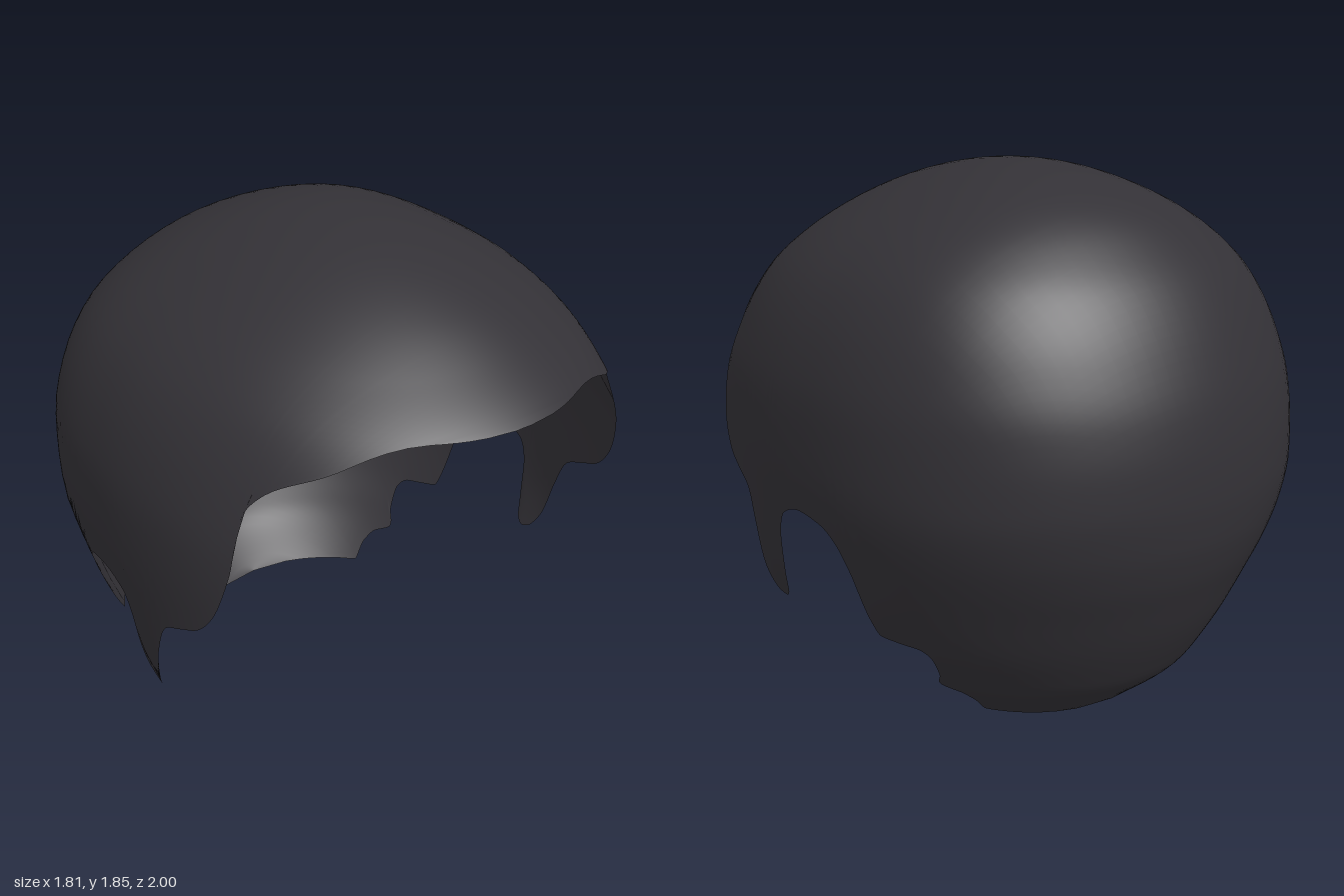
import * as THREE from 'three';

const TOP = 1.85;

// Shell sections: [depth below crown as sqrt(TOP - y), half width, front reach, back reach]
const SECTIONS = [
  [0, 0, 0, 0],
  [0.245, 0.31, 0.41, 0.37],
  [0.406, 0.53, 0.67, 0.595],
  [0.51, 0.67, 0.83, 0.71],
  [0.616, 0.78, 1.0, 0.815],
  [0.755, 0.867, 1.18, 0.915],
  [0.866, 0.903, 1.36, 0.973],
  [0.949, 0.907, 1.5, 0.994],
  [1.0, 0.905, 1.58, 0.997],
  [1.063, 0.89, 1.72, 0.985],
  [1.118, 0.872, 1.75, 0.955],
  [1.177, 0.843, 1.75, 0.90],
  [1.225, 0.80, 1.75, 0.848],
  [1.281, 0.70, 1.75, 0.77],
  [1.304, 0.648, 1.75, 0.73],
  [1.36, 0.50, 1.75, 0.555],
];

// Lower hem in side profile: [position along the centre line, z, y]
const HEM = [
  // fringe and temple
  [-0.616, 1, 1.47], [-0.60, 0.93, 1.473], [-0.52, 0.80, 1.395],
  [-0.45, 0.69, 1.325], [-0.41, 0.655, 1.25], [-0.36, 0.67, 1.10],
  [-0.33, 0.64, 0.95], [-0.29, 0.56, 0.83], [-0.25, 0.47, 0.78],
  // sideburn
  [-0.22, 0.385, 0.73], [-0.19, 0.33, 0.60], [-0.17, 0.29, 0.44],
  [-0.15, 0.25, 0.375], [-0.13, 0.22, 0.365], [-0.11, 0.19, 0.39],
  [-0.085, 0.165, 0.50], [-0.06, 0.15, 0.63],
  // arch over the ear
  [-0.03, 0.11, 0.71], [0.02, 0, 0.745], [0.08, -0.12, 0.725],
  [0.13, -0.19, 0.66], [0.19, -0.22, 0.55], [0.30, -0.228, 0.40],
  // stepped nape
  [0.38, -0.235, 0.35], [0.50, -0.30, 0.335], [0.65, -0.365, 0.325],
  [0.80, -0.385, 0.29], [0.95, -0.36, 0.21], [1.06, -0.32, 0.15],
  [1.13, -0.37, 0.115], [1.20, -0.375, 0.08], [1.25, -0.352, 0.02],
  [1.31, -0.42, 0.01], [1.36, -0.555, 0],
];

// Smooth interpolation of a table column without overshoot
function sample(table, col, at) {
  const last = table.length - 1;
  const t = THREE.MathUtils.clamp(at, table[0][0], table[last][0]);
  let i = 0;
  while (i < last - 1 && t > table[i + 1][0]) i++;
  const secant = (k) => (table[k + 1][col] - table[k][col]) / (table[k + 1][0] - table[k][0]);
  const slope = (k) => {
    if (k === 0) return secant(0);
    if (k === last) return secant(last - 1);
    const a = secant(k - 1), b = secant(k);
    return a * b <= 0 ? 0 : (2 * a * b) / (a + b);
  };
  const h = table[i + 1][0] - table[i][0];
  const u = (t - table[i][0]) / h, v = 1 - u;
  return table[i][col] * v * v * (1 + 2 * u) + table[i + 1][col] * u * u * (3 - 2 * u)
    + h * u * v * (v * slope(i) - u * slope(i + 1));
}

// Half width of the shell at a point of the side profile
function halfWidth(z, y) {
  const q = Math.sqrt(Math.max(0, TOP - y));
  const reach = sample(SECTIONS, z > 0 ? 2 : 3, q);
  if (reach < 1e-6) return 0;
  // the back is fuller than the front, and the lower part narrows towards the nape
  const fullness = z > 0 ? 2 : 2.6;
  const taper = 1 + 0.2 * z * (1 - THREE.MathUtils.smoothstep(y, 0.3, 0.85));
  const round = Math.sqrt(Math.max(0, 1 - Math.abs(z / reach) ** fullness));
  return sample(SECTIONS, 1, q) * taper * round;
}

function hairGeometry(perSpan = 6, half = 26) {
  const positions = [], index = [];
  const rows = (HEM.length - 1) * perSpan, cols = half * 2 + 1;
  for (let r = 0; r <= rows; r++) {
    const i = Math.min(Math.floor(r / perSpan), HEM.length - 2);
    const s = THREE.MathUtils.lerp(HEM[i][0], HEM[i + 1][0], r / perSpan - i);
    // from the centre line out to the hem, on both sides
    const crestY = TOP - s * s;
    const crestZ = s < 0 ? sample(SECTIONS, 2, -s) : -sample(SECTIONS, 3, s);
    const hemZ = sample(HEM, 1, s), hemY = sample(HEM, 2, s);
    for (let k = -half; k <= half; k++) {
      const u = (k / half) ** 2;
      const z = THREE.MathUtils.lerp(crestZ, hemZ, u);
      const y = THREE.MathUtils.lerp(crestY, hemY, u);
      positions.push(k === 0 ? 0 : Math.sign(k) * halfWidth(z, y), y, z);
    }
  }
  for (let r = 0; r < rows; r++) {
    for (let c = 0; c < cols - 1; c++) {
      const a = r * cols + c, b = a + cols;
      index.push(a, a + 1, b, a + 1, b + 1, b);
    }
  }
  const geometry = new THREE.BufferGeometry();
  geometry.setAttribute('position', new THREE.Float32BufferAttribute(positions, 3));
  geometry.setIndex(index);
  geometry.computeVertexNormals();
  return geometry;
}

export function createModel() {
  const group = new THREE.Group();
  group.name = 'hairpiece';
  // thin open shell
  const hair = new THREE.Mesh(
    hairGeometry(),
    new THREE.MeshStandardMaterial({ color: 0x333136, side: THREE.DoubleSide }),
  );
  hair.name = 'hairShell';
  group.add(hair);
  return group;
}
